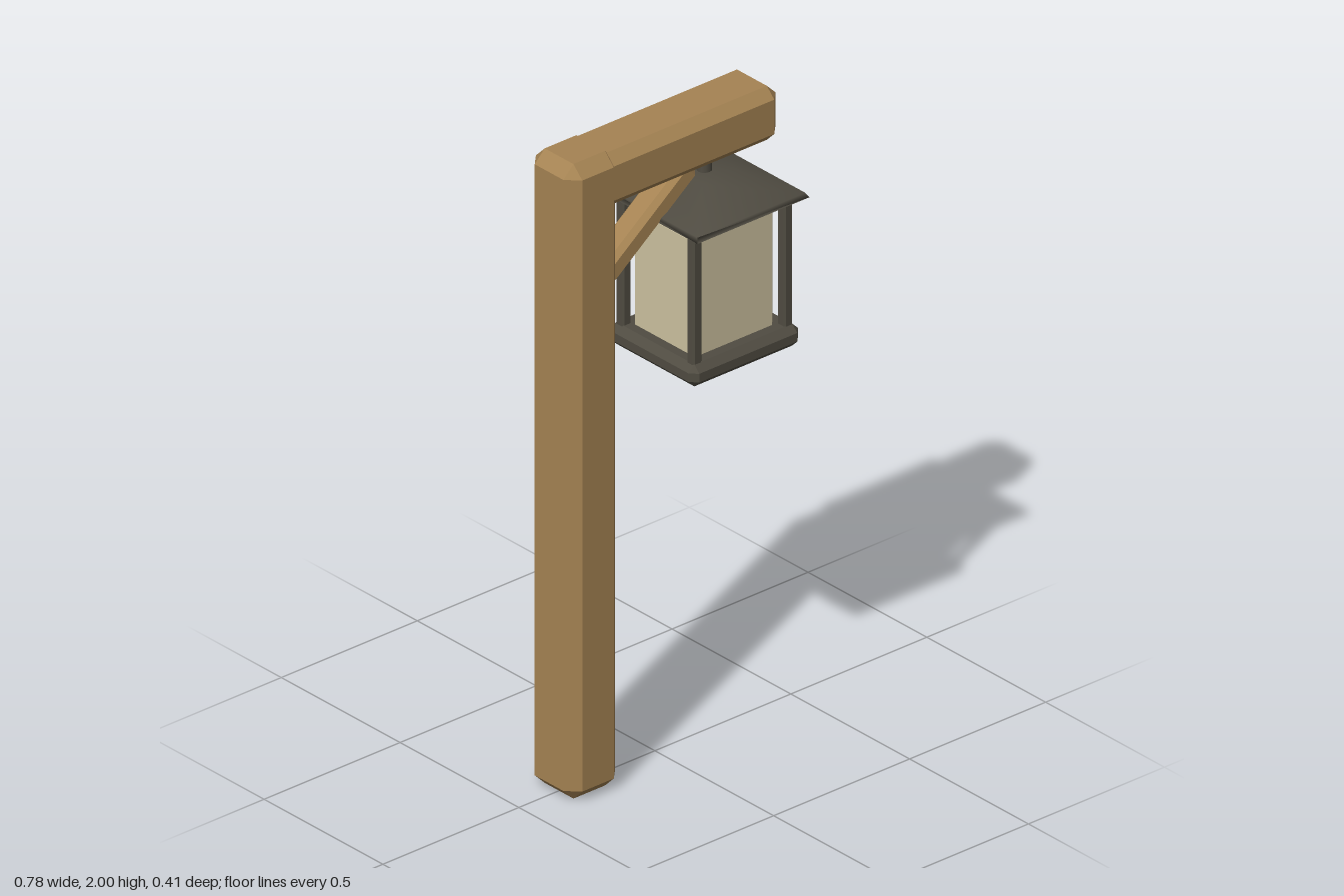
import * as THREE from 'three';
import { ConvexGeometry } from 'three/addons/geometries/ConvexGeometry.js';

const material = (name, color) => {
  const m = new THREE.MeshStandardMaterial({ color });
  m.name = name;
  return m;
};

// Box with every edge cut by a flat chamfer c
function chamferBox(w, h, d, c) {
  const [x, y, z] = [w / 2, h / 2, d / 2];
  const points = [];
  for (const i of [-1, 1]) for (const j of [-1, 1]) for (const k of [-1, 1]) {
    points.push(
      new THREE.Vector3(i * x, j * (y - c), k * (z - c)),
      new THREE.Vector3(i * (x - c), j * y, k * (z - c)),
      new THREE.Vector3(i * (x - c), j * (y - c), k * z)
    );
  }
  return new ConvexGeometry(points);
}

export function createModel() {
  const wood = material('wood', 0xa58353);
  const metal = material('dark metal', 0x504c42);
  const glass = material('cream glass', 0xcdc2a0);

  const model = new THREE.Group();
  model.name = 'lampPost';
  const add = (parent, name, geometry, mat, x, y, z = 0) => {
    const mesh = new THREE.Mesh(geometry, mat);
    mesh.name = name;
    mesh.position.set(x, y, z);
    parent.add(mesh);
    return mesh;
  };

  // Timber frame
  add(model, 'post', chamferBox(0.19, 2, 0.195, 0.037), wood, -0.294, 1);
  add(model, 'beam', chamferBox(0.7, 0.17, 0.188, 0.031), wood, 0.038, 1.909);
  const brace = add(model, 'brace', chamferBox(0.4, 0.073, 0.09, 0.016), wood, -0.05, 1.697);
  brace.rotation.z = 0.656;

  // Hanging lantern
  const lantern = new THREE.Group();
  lantern.name = 'lantern';
  lantern.position.x = 0.182;
  model.add(lantern);

  add(lantern, 'hanger', new THREE.CylinderGeometry(0.022, 0.022, 0.09, 12), metal, 0, 1.8);

  // Four-sided roof with softly shaded edges
  const profile = [[0, 1.69], [0.206, 1.69], [0.198, 1.704], [0.064, 1.768], [0, 1.768]]
    .map(([r, y]) => new THREE.Vector2(r * Math.SQRT2, y));
  add(lantern, 'roof', new THREE.LatheGeometry(profile, 4, Math.PI / 4), metal, 0, 0);

  add(lantern, 'base', chamferBox(0.402, 0.069, 0.37, 0.021), metal, 0, 1.2495);
  add(lantern, 'glass', chamferBox(0.296, 0.385, 0.266, 0.013), glass, -0.003, 1.4635);

  // Corner bars
  for (const sx of [-1, 1]) for (const sz of [-1, 1]) {
    add(lantern, 'cornerBar', chamferBox(0.032, 0.43, 0.032, 0.005), metal, sx * 0.167, 1.485, sz * 0.149);
  }
  return model;
}
